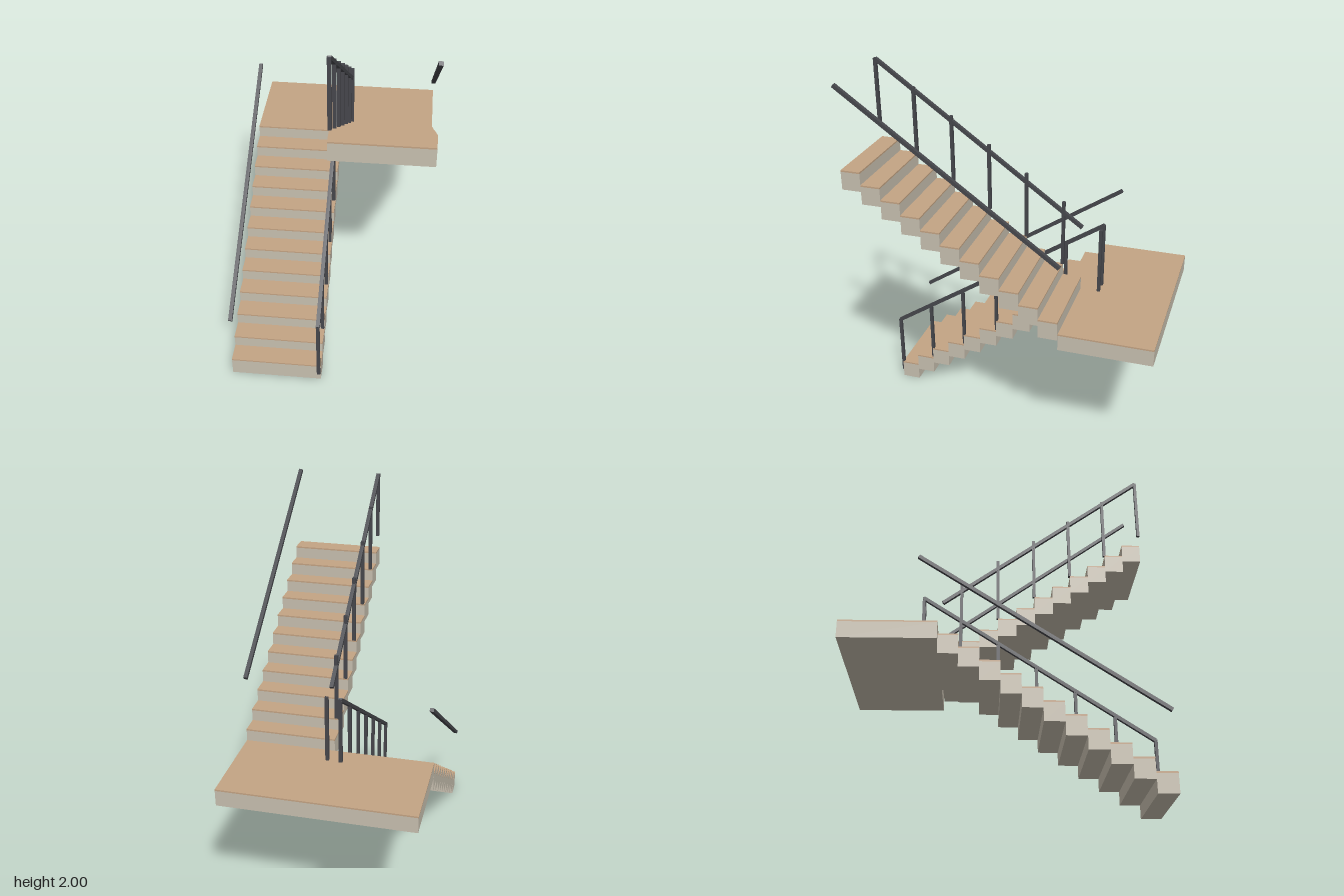
import * as THREE from 'three';

const concrete = new THREE.MeshStandardMaterial({ color: 0xc8c0b0 });
concrete.name = 'concrete';
const wood = new THREE.MeshStandardMaterial({ color: 0xc4a484 });
wood.name = 'woodTread';
const metal = new THREE.MeshStandardMaterial({ color: 0x46474c });
metal.name = 'darkMetal';

const STEPS = 11, RISE = 0.0667, GOING = 0.0995, FRONT = 0.785;
const STEP_H = 0.102, TREAD_H = 0.008;
const POSTS = 7, POST_GAP = 0.1992, POST_RISE = 0.1325, POST_LEN = 0.357;

// Box given by its extents
function box(name, material, x0, x1, y0, y1, z0, z1) {
  const mesh = new THREE.Mesh(new THREE.BoxGeometry(x1 - x0, y1 - y0, z1 - z0), material);
  mesh.position.set((x0 + x1) / 2, (y0 + y1) / 2, (z0 + z1) / 2);
  mesh.name = name;
  return mesh;
}

// Concrete block with a thin wooden top
function slab(name, x0, x1, y0, y1, z0, z1) {
  const g = new THREE.Group();
  g.name = name;
  g.add(box(name + 'Block', concrete, x0, x1, y0, y1 - TREAD_H, z0, z1));
  g.add(box(name + 'Tread', wood, x0, x1, y1 - TREAD_H, y1, z0, z1));
  return g;
}

// Steps counted from the front edge towards the landing; dir = +1 climbs to the back, -1 descends
function flight(name, x0, x1, yFirst, dir) {
  const g = new THREE.Group();
  g.name = name;
  for (let i = 0; i < STEPS; i++) {
    const y = yFirst + dir * i * RISE, z = FRONT - i * GOING;
    g.add(slab('step', x0, x1, y, y + STEP_H, z - GOING, z));
  }
  return g;
}

// Sloping square bar in the y-z plane
function handrail(x, y0, z0, y1, z1) {
  const dy = y1 - y0, dz = z1 - z0;
  const rail = new THREE.Mesh(new THREE.BoxGeometry(0.02, 0.018, Math.hypot(dy, dz)), metal);
  rail.position.set(x, (y0 + y1) / 2, (z0 + z1) / 2);
  rail.rotation.x = Math.atan2(dy, -dz);
  rail.name = 'handrail';
  return rail;
}

// Row of upright posts from front to landing
function posts(x, topFirst, dir) {
  const g = new THREE.Group();
  g.name = 'railPosts';
  for (let i = 0; i < POSTS; i++) {
    const top = topFirst + dir * i * POST_RISE, z = FRONT - i * POST_GAP;
    g.add(box('post', metal, x - 0.009, x + 0.009, top - POST_LEN, top, z - 0.008, z + 0.008));
  }
  return g;
}

export function createModel() {
  const model = new THREE.Group();
  model.name = 'staircase';

  // Flights and half landing
  model.add(flight('lowerFlight', -0.497, -0.025, 0, 1));
  model.add(flight('upperFlight', 0.02, 0.494, 1.467, -1));
  model.add(slab('landing', -0.497, 0.494, 0.745, 0.837, -0.79, -0.312));

  // Handrails, with posts on the inner sides only
  for (const x of [-0.485, -0.036]) model.add(handrail(x, 0.397, 0.785, 1.193, -0.413));
  for (const x of [0.033, 0.482]) model.add(handrail(x, 1.99, 0.785, 1.2, -0.312));
  model.add(posts(-0.036, 0.4, 1));
  model.add(posts(0.033, 1.993, -1));
  return model;
}
